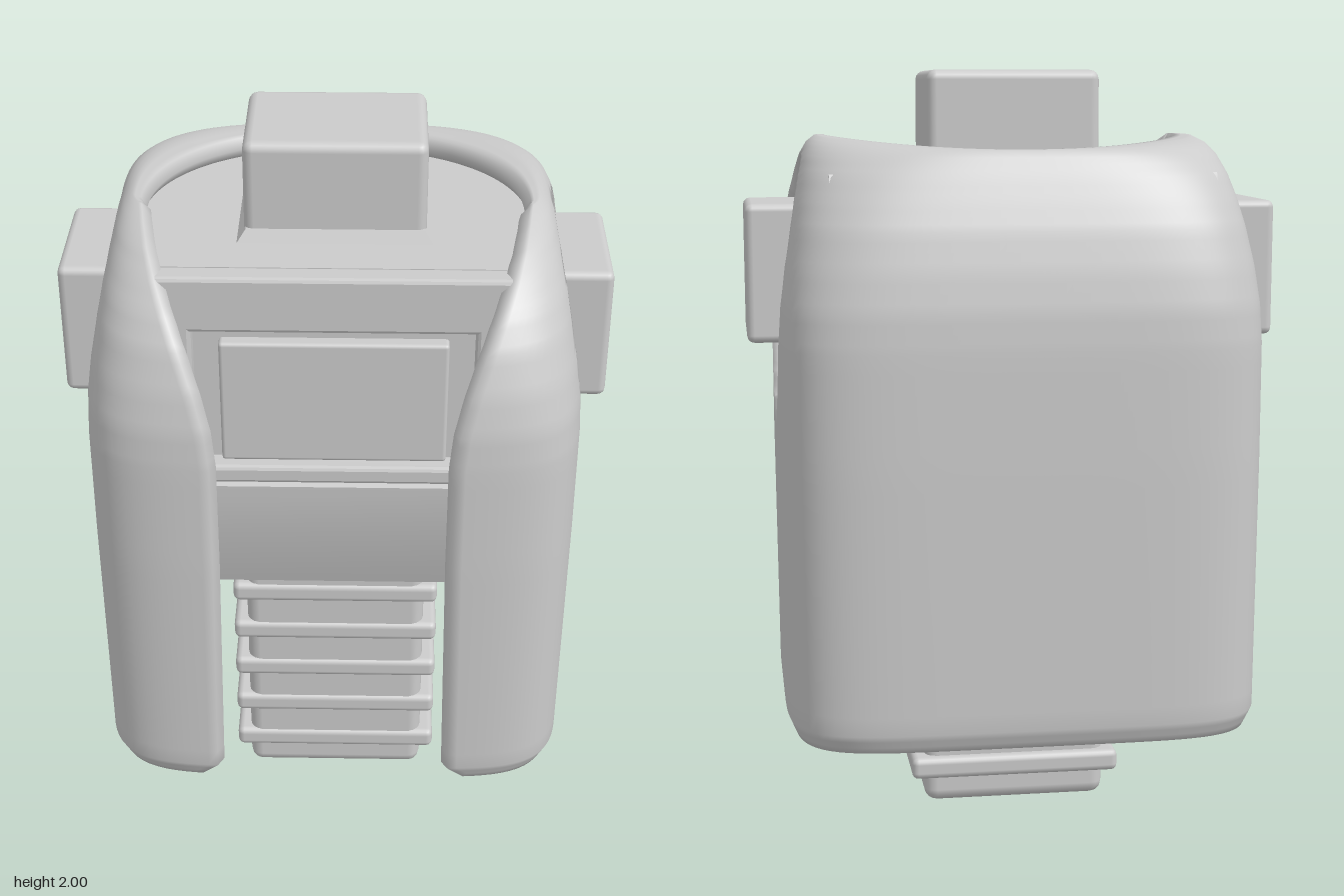
import * as THREE from 'three';
import { toCreasedNormals } from 'three/addons/utils/BufferGeometryUtils.js';
import { RoundedBoxGeometry } from 'three/addons/geometries/RoundedBoxGeometry.js';

const grey = new THREE.MeshStandardMaterial({ color: 0xcccccc });
const greyThin = new THREE.MeshStandardMaterial({ color: 0xcccccc, side: THREE.DoubleSide });

function part(group, name, geometry, material = grey) {
  const mesh = new THREE.Mesh(geometry, material);
  mesh.name = name;
  group.add(mesh);
}

// Rounded block given by its limits
function block(group, name, [x0, x1], [y0, y1], [z0, z1], r = 0.025) {
  const g = new RoundedBoxGeometry(x1 - x0, y1 - y0, z1 - z0, 2, r);
  g.translate((x0 + x1) / 2, (y0 + y1) / 2, (z0 + z1) / 2);
  part(group, name, g);
}

// Four-sided tapered band: half sizes at the bottom, ratio of top to bottom
function taper(group, name, hx, hz, y0, y1, ratio) {
  const g = new THREE.CylinderGeometry(Math.SQRT2 * ratio, Math.SQRT2, y1 - y0, 4, 1).toNonIndexed();
  g.rotateY(Math.PI / 4).scale(hx, 1, hz).translate(0, (y0 + y1) / 2, 0);
  g.computeVertexNormals();
  part(group, name, g);
}

function polygon(points) {
  return new THREE.Shape(points.map(p => new THREE.Vector2(...p)));
}

// Vest levels: y, half width, front z, back z, centre z, squareness, front gap
const levels = [
  [0.27, 0.61, 0.54, -0.54, 0, 6, 0.36],
  [0.32, 0.63, 0.56, -0.56, 0, 6, 0.315],
  [1.0, 0.635, 0.565, -0.565, 0, 6, 0.305],
  [1.3, 0.635, 0.562, -0.563, 0, 6, 0.305],
  [1.4, 0.631, 0.556, -0.557, 0, 5.8, 0.315],
  [1.5, 0.62, 0.537, -0.54, 0, 5.4, 0.34],
  [1.6, 0.602, 0.505, -0.515, 0, 5, 0.375],
  [1.67, 0.588, 0.467, -0.487, 0, 4.5, 0.405],
  [1.73, 0.572, 0.417, -0.46, 0, 4, 0.435],
  [1.78, 0.555, 0.36, -0.432, 0.02, 3.4, 0.46],
  [1.81, 0.538, 0.3, -0.41, 0.04, 2.9, 0.475],
  [1.828, 0.515, 0.24, -0.39, 0.07, 2.5, 0.485],
  [1.828, 0.49, 0.2, -0.37, 0.12, 2, 0.485],
];
const steps = [3, 14, 6, 4, 4, 4, 4, 3, 3, 2, 2, 3];
const COLS = 150;

// Open horizontal section, from the left flap round the back to the right flap
function section([y, a, front, back, zc, n, gap]) {
  const bf = front - zc, bb = zc - back;
  const start = Math.atan2(bf * Math.pow(1 - Math.pow(gap / a, n), 1 / n), gap);
  const points = [];
  for (let i = 0; i <= COLS; i++) {
    const t = start + (i / COLS) * (-Math.PI - 2 * start);
    const c = Math.cos(t), s = Math.sin(t), b = s > 0 ? bf : bb;
    const r = Math.pow(Math.pow(Math.abs(c) / a, n) + Math.pow(Math.abs(s) / b, n), -1 / n);
    // the neckline dips at the back
    const dip = y > 1.8 && s < 0 ? 0.03 * s * s * (y - 1.8) / 0.028 : 0;
    points.push(new THREE.Vector3(r * c, y - dip, zc + r * s));
  }
  return points;
}

// Negative inside the elliptical arm holes
function armHole({ x, y, z }) {
  return Math.abs(x) < 0.4 ? 1 : Math.hypot((z - 0.01) / 0.333, (y - 1.433) / 0.35) - 1;
}

function vestGeometry(thickness) {
  const rows = [section(levels[0])];
  steps.forEach((count, k) => {
    for (let j = 1; j <= count; j++) {
      rows.push(section(levels[k].map((v, m) => THREE.MathUtils.lerp(v, levels[k + 1][m], j / count))));
    }
  });
  const pts = rows.flat(), W = COLS + 1;
  const cells = [];
  for (let j = 0; j < rows.length - 1; j++) {
    for (let i = 0; i < COLS; i++) {
      cells.push([j * W + i, j * W + i + 1, (j + 1) * W + i + 1, (j + 1) * W + i]);
    }
  }
  const fan = faces => faces.flatMap(f => f.slice(2).flatMap((c, m) => [f[0], f[m + 1], c]));

  // Normals of the uncut skin
  const skin = new THREE.BufferGeometry().setFromPoints(pts);
  skin.setIndex(fan(cells));
  skin.computeVertexNormals();
  const normals = pts.map((p, k) => new THREE.Vector3().fromBufferAttribute(skin.attributes.normal, k));

  // Clip every cell against the arm holes
  const side = pts.map(armHole), cuts = new Map();
  function cut(a, b) {
    const lo = Math.min(a, b), hi = Math.max(a, b), key = lo + '_' + hi;
    if (!cuts.has(key)) {
      const t = side[lo] / (side[lo] - side[hi]);
      cuts.set(key, pts.length);
      pts.push(pts[lo].clone().lerp(pts[hi], t));
      normals.push(normals[lo].clone().lerp(normals[hi], t).normalize());
    }
    return cuts.get(key);
  }
  const faces = cells.map(q => q.flatMap((a, m) => {
    const b = q[(m + 1) % 4], corner = side[a] >= 0 ? [a] : [];
    return (side[a] >= 0) !== (side[b] >= 0) ? [...corner, cut(a, b)] : corner;
  })).filter(f => f.length > 2);

  // Open edges are those used by a single face
  const edges = new Map();
  faces.forEach(f => f.forEach((a, m) => {
    const b = f[(m + 1) % f.length];
    if (!edges.delete(b + '_' + a)) edges.set(a + '_' + b, [a, b]);
  }));
  const out = pts.map(() => new THREE.Vector3());
  edges.forEach(([a, b]) => {
    const o = pts[b].clone().sub(pts[a]).cross(normals[a]);
    out[a].add(o);
    out[b].add(o);
  });

  // Outer skin, inner skin and a rounded lip between them
  const N = pts.length;
  const inner = pts.map((p, k) => p.clone().addScaledVector(normals[k], -thickness));
  const lip = pts.map((p, k) => p.clone().addScaledVector(normals[k], -thickness / 2)
    .addScaledVector(out[k].normalize(), 0.015));
  const index = fan(faces), all = index.slice();
  for (let k = 0; k < index.length; k += 3) {
    all.push(index[k] + N, index[k + 2] + N, index[k + 1] + N);
  }
  edges.forEach(([a, b]) => {
    const la = a + 2 * N, lb = b + 2 * N;
    all.push(b, a, la, b, la, lb, lb, la, a + N, lb, a + N, b + N);
  });
  const g = new THREE.BufferGeometry().setFromPoints([...pts, ...inner, ...lip]);
  g.setIndex(all);
  g.computeVertexNormals();
  return g;
}

export function createModel() {
  const model = new THREE.Group();
  model.name = 'armouredTorso';

  part(model, 'vest', vestGeometry(0.055), greyThin);

  // Torso core, with a belly that slants back under the chest
  const profile = polygon([
    [0.31, 1.738], [-0.37, 1.738], [-0.4, 1.68], [-0.4, 0.9], [-0.36, 0.8], [-0.28, 0.75],
    [0.28, 0.75], [0.3, 0.765], [0.325, 0.85], [0.35, 0.96], [0.366, 1.06], [0.37, 1.125], [0.31, 1.14],
  ]);
  const core = new THREE.ExtrudeGeometry(profile, { depth: 1.0, bevelEnabled: false });
  core.translate(0, 0, -0.5).rotateY(-Math.PI / 2);
  part(model, 'torsoCore', toCreasedNormals(core, 0.6));

  // Chest frame with a stepped recess and a raised panel
  const frame = polygon([[-0.5, 1.14], [0.5, 1.14], [0.5, 1.67], [0.44, 1.732], [-0.44, 1.732], [-0.5, 1.67]]);
  frame.holes.push(new THREE.Path([[-0.36, 1.18], [-0.36, 1.59], [0.36, 1.59], [0.36, 1.18]]
    .map(p => new THREE.Vector2(...p))));
  const frameGeometry = new THREE.ExtrudeGeometry(frame, {
    depth: 0.045, bevelThickness: 0.012, bevelSize: 0.01, bevelOffset: -0.005, bevelSegments: 2,
  });
  frameGeometry.translate(0, 0, 0.313);
  part(model, 'chestFrame', frameGeometry);
  block(model, 'chestPanel', [-0.29, 0.29], [1.19, 1.54], [0.28, 0.345], 0.01);

  // Neck with a flared foot, and shoulder stubs
  block(model, 'neck', [-0.23, 0.23], [1.66, 2.0], [-0.175, 0.165]);
  taper(model, 'neckFoot', 0.25, 0.186, 1.735, 1.77, 0.9);
  for (const side of [-1, 1]) {
    const name = side > 0 ? 'left' : 'right';
    const xs = (a, b) => (side > 0 ? [a, b] : [-b, -a]);
    block(model, name + 'ShoulderStub', xs(0.45, 0.71), [1.29, 1.655], [-0.185, 0.175], 0.02);
    block(model, name + 'TorsoSide', xs(0.44, 0.54), [0.8, 1.67], [-0.36, 0.35], 0.03);
  }

  // Segmented waist
  block(model, 'waistColumn', [-0.25, 0.25], [0, 0.85], [-0.19, 0.2], 0.035);
  for (let i = 0; i < 5; i++) {
    const y = 0.105 + i * 0.135;
    block(model, 'waistRib', [-0.287, 0.287], [y - 0.03, y + 0.03], [-0.215, 0.208], 0.018);
  }
  taper(model, 'waistCollar', 0.25, 0.195, 0.69, 0.755, 1.15);

  return model;
}
